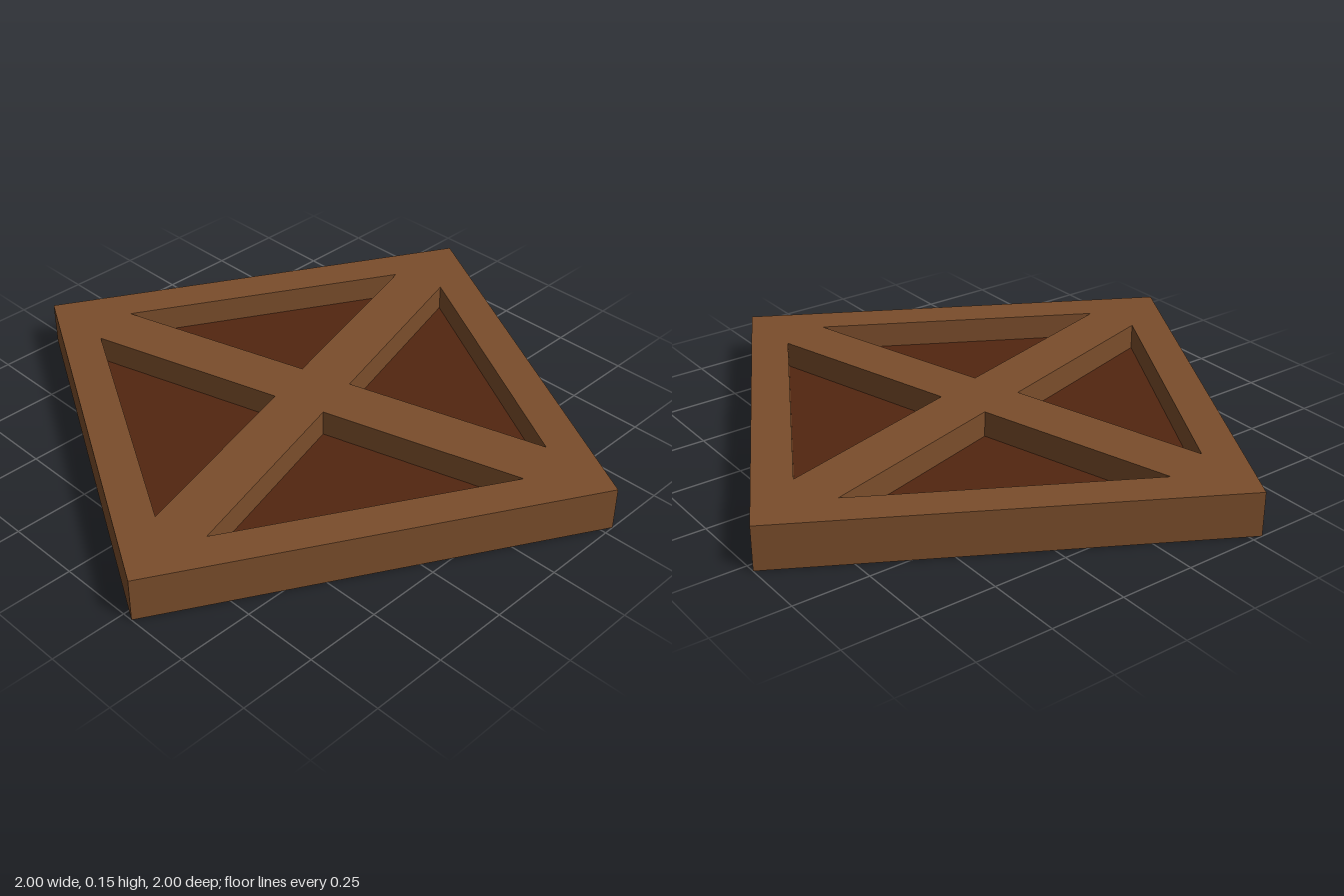
import * as THREE from 'three';

const HALF = 0.735;    // half the side of the square
const INNER = 0.61;    // inner edge of the border
const NOTCH = 0.125;   // distance from centre to each opening's tip
const HEIGHT = 0.147;
const BASE = 0.055;

export function createModel() {
  const group = new THREE.Group();
  const wood = new THREE.MeshStandardMaterial({ color: 0x7a4d2b });
  const darkWood = new THREE.MeshStandardMaterial({ color: 0x522610 });

  const add = (name, geometry, material, y) => {
    const mesh = new THREE.Mesh(geometry, material);
    mesh.name = name;
    mesh.position.y = y;
    group.add(mesh);
  };

  // Border and diagonal cross: a square with four triangular openings
  const shape = new THREE.Shape([[-1, -1], [1, -1], [1, 1], [-1, 1]]
    .map(([x, y]) => new THREE.Vector2(x * HALF, y * HALF)));
  const spread = INNER - NOTCH;
  for (let i = 0; i < 4; i++) {
    const corners = [[NOTCH, 0], [INNER, spread], [INNER, -spread]].map(([x, y]) =>
      new THREE.Vector2(x, y).rotateAround(new THREE.Vector2(), i * Math.PI / 2));
    shape.holes.push(new THREE.Path(corners));
  }
  const frame = new THREE.ExtrudeGeometry(shape, { depth: HEIGHT - BASE, bevelEnabled: false });
  frame.rotateX(-Math.PI / 2);
  add('crossFrame', frame, wood, BASE);

  // Solid underside
  add('base', new THREE.BoxGeometry(HALF * 2, BASE, HALF * 2), wood, BASE / 2);

  // Dark recessed floor seen through the openings
  const size = INNER * 2 + 0.04;
  add('recessedPanel', new THREE.BoxGeometry(size, 0.01, size), darkWood, BASE);

  // The whole lid is turned about the vertical
  group.rotation.y = -0.508;
  return group;
}
